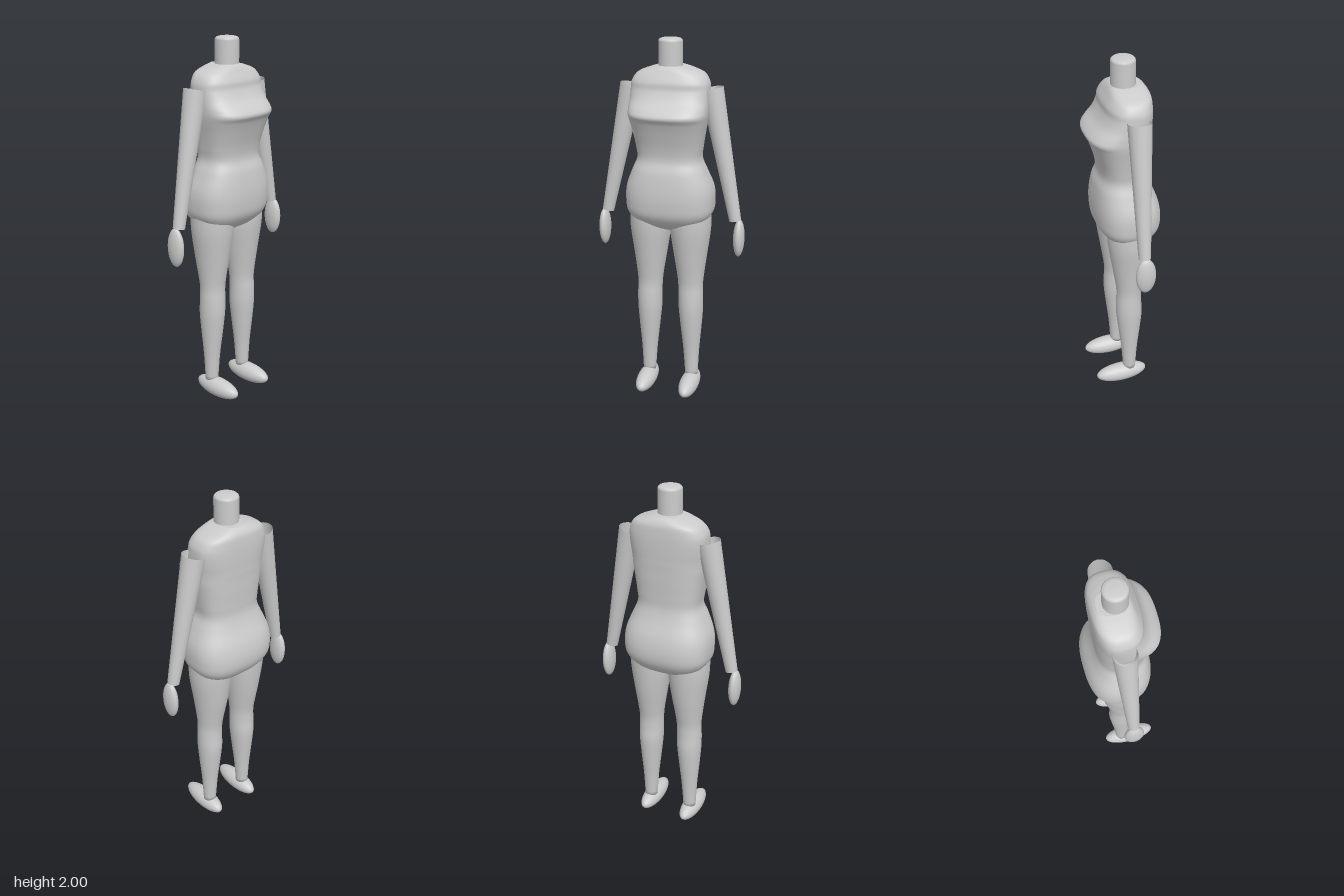
import * as THREE from 'three';

const material = new THREE.MeshStandardMaterial({ color: 0xcccccc, side: THREE.DoubleSide });

// Smooth skin through superelliptic rings [y, centreX, halfWidth, zFront, zBack], listed top to bottom.
function loft(rings, power, steps, sides = 64) {
  const centre = new THREE.CatmullRomCurve3(
    rings.map(([y, cx, , f, b]) => new THREE.Vector3(cx, y, (f + b) / 2)), false, 'catmullrom', 0.5);
  const radius = new THREE.CatmullRomCurve3(
    rings.map(([, , w, f, b]) => new THREE.Vector3(w, 0, (f - b) / 2)), false, 'catmullrom', 0.5);
  const positions = [], index = [];
  const addRing = (c, rx, rz) => {
    for (let j = 0; j < sides; j++) {
      const a = (j / sides) * Math.PI * 2;
      const round = (v) => Math.sign(v) * Math.abs(v) ** (2 / power);
      positions.push(c.x + rx * round(Math.cos(a)), c.y, c.z + rz * round(Math.sin(a)));
    }
  };
  addRing(centre.getPoint(0), 0, 0);
  for (let i = 0; i <= steps; i++) {
    const r = radius.getPoint(i / steps);
    addRing(centre.getPoint(i / steps), r.x, r.z);
  }
  addRing(centre.getPoint(1), 0, 0);
  for (let i = 0; i < steps + 2; i++) {
    for (let j = 0; j < sides; j++) {
      const k = (j + 1) % sides;
      const a = i * sides + j, b = i * sides + k, c = a + sides, d = b + sides;
      index.push(a, b, c, b, d, c);
    }
  }
  const geometry = new THREE.BufferGeometry();
  geometry.setAttribute('position', new THREE.Float32BufferAttribute(positions, 3));
  geometry.setIndex(index);
  geometry.computeVertexNormals();
  return geometry;
}

export function createModel() {
  const model = new THREE.Group();
  model.name = 'bodyForm';
  const add = (name, geometry) => {
    const mesh = new THREE.Mesh(geometry, material);
    mesh.name = name;
    model.add(mesh);
    return mesh;
  };
  const ellipsoid = (name, x, y, z, rx, ry, rz) => {
    const mesh = add(name, new THREE.SphereGeometry(1, 40, 28));
    mesh.position.set(x, y, z);
    mesh.scale.set(rx, ry, rz);
  };

  // Torso: sloped shoulders, bust, waist, hips and rounded underside
  add('torso', loft([
    [1.86, 0, 0.06, 0.055, -0.1],
    [1.845, 0, 0.115, 0.068, -0.117],
    [1.82, 0, 0.175, 0.082, -0.13],
    [1.78, 0, 0.203, 0.102, -0.134],
    [1.74, 0, 0.209, 0.109, -0.135],
    [1.69, 0, 0.209, 0.136, -0.134],
    [1.645, 0, 0.209, 0.18, -0.132],
    [1.615, 0, 0.208, 0.197, -0.131],
    [1.58, 0, 0.203, 0.178, -0.129],
    [1.52, 0, 0.191, 0.155, -0.127],
    [1.44, 0, 0.178, 0.131, -0.123],
    [1.375, 0, 0.173, 0.125, -0.123],
    [1.31, 0, 0.199, 0.144, -0.14],
    [1.22, 0, 0.233, 0.156, -0.175],
    [1.14, 0, 0.24, 0.157, -0.188],
    [1.07, 0, 0.228, 0.145, -0.177],
    [1.01, 0, 0.17, 0.1, -0.132],
    [0.975, 0, 0.06, 0.04, -0.06],
  ], 2.7, 136));

  // Neck with a softly rounded top
  const neckProfile = [[0.063, 1.82], [0.063, 1.98], [0.061, 1.988], [0.055, 1.994], [0.04, 1.998], [0, 2]];
  const neck = add('neck', new THREE.LatheGeometry(neckProfile.map(([r, y]) => new THREE.Vector2(r, y)), 48));
  neck.position.z = -0.009;

  for (const [side, s] of [['left', 1], ['right', -1]]) {
    // Tapered open arm sleeve from shoulder to wrist
    const shoulder = new THREE.Vector3(s * 0.216, 1.748, -0.023);
    const wrist = new THREE.Vector3(s * 0.358, 1.046, -0.01);
    const axis = shoulder.clone().sub(wrist);
    const arm = add(side + 'Arm', new THREE.CylinderGeometry(0.061, 0.032, axis.length(), 40, 1, true));
    arm.position.copy(shoulder).add(wrist).multiplyScalar(0.5);
    arm.quaternion.setFromUnitVectors(new THREE.Vector3(0, 1, 0), axis.normalize());

    ellipsoid(side + 'Hand', s * 0.38, 0.947, -0.011, 0.03, 0.105, 0.054);

    // Leg: thigh, knee, calf and ankle
    add(side + 'Leg', loft([
      [1.09, s * 0.113, 0.112, 0.112, -0.135],
      [0.98, s * 0.112, 0.112, 0.107, -0.128],
      [0.84, s * 0.113, 0.093, 0.087, -0.11],
      [0.72, s * 0.115, 0.076, 0.069, -0.088],
      [0.65, s * 0.116, 0.069, 0.062, -0.077],
      [0.58, s * 0.118, 0.069, 0.065, -0.077],
      [0.5, s * 0.119, 0.068, 0.065, -0.081],
      [0.38, s * 0.121, 0.058, 0.053, -0.07],
      [0.24, s * 0.123, 0.045, 0.037, -0.055],
      [0.09, s * 0.125, 0.036, 0.027, -0.045],
    ], 2, 54, 48));

    ellipsoid(side + 'Foot', s * 0.126, 0.053, 0.039, 0.053, 0.053, 0.15);
  }
  return model;
}
